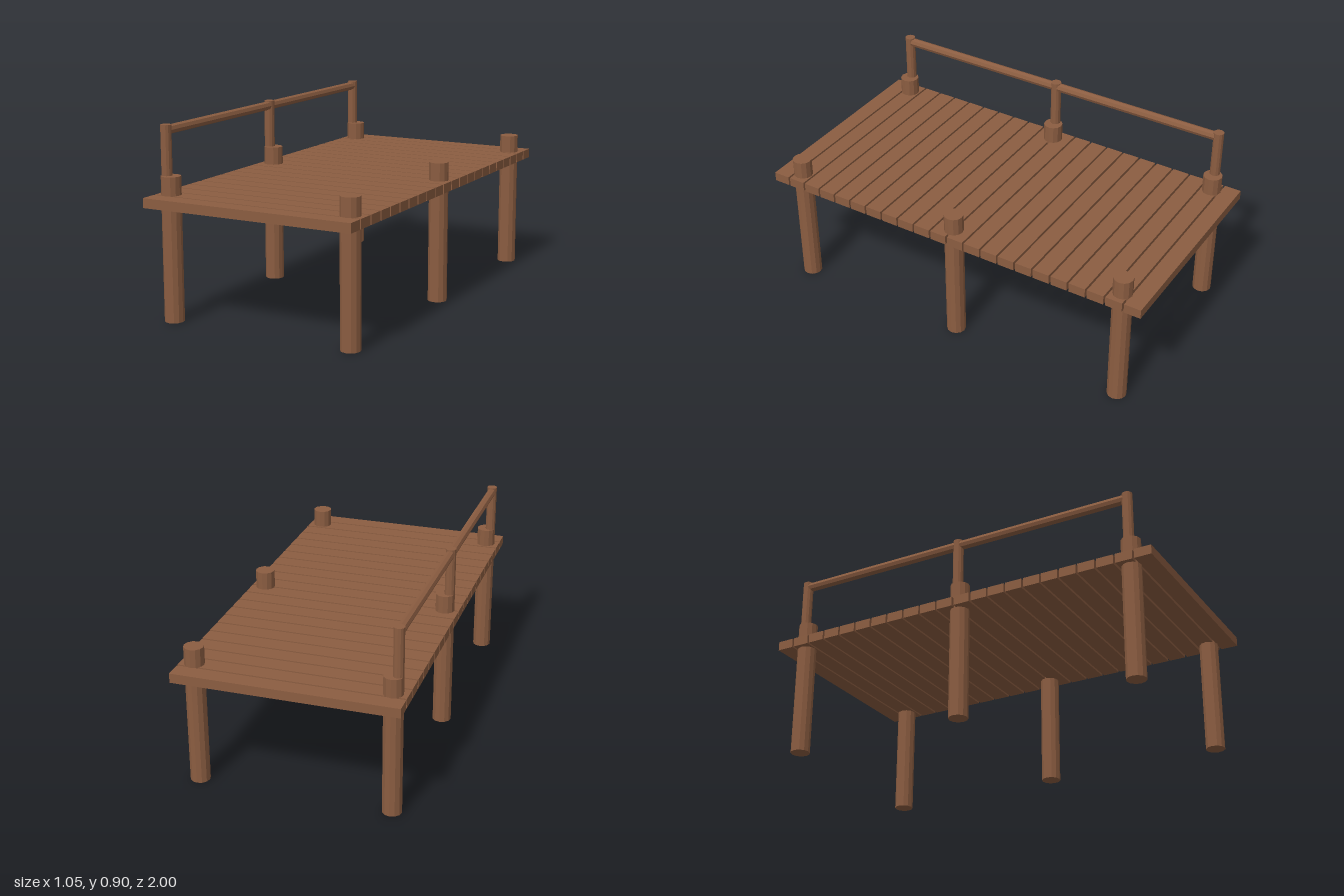
import * as THREE from 'three';

export function createModel() {
  const model = new THREE.Group();
  model.name = 'dock';
  const wood = new THREE.MeshStandardMaterial({ color: 0x8b5d41, flatShading: true });
  wood.name = 'brown wood';

  const add = (name, geometry, x, y, z) => {
    const mesh = new THREE.Mesh(geometry, wood);
    mesh.name = name;
    mesh.position.set(x, y, z);
    model.add(mesh);
    return mesh;
  };

  // Deck planks with narrow gaps
  const count = 22, plankWidth = 0.082;
  const pitch = (2 - plankWidth) / (count - 1);
  const plank = new THREE.BoxGeometry(1.046, 0.045, plankWidth);
  for (let i = 0; i < count; i++) {
    add('plank', plank, 0, 0.566, -1 + plankWidth / 2 + i * pitch);
  }

  // Pilings in two rows, with thin rail posts on the right row
  const piling = new THREE.CylinderGeometry(0.046, 0.046, 0.675, 12);
  const railPost = new THREE.CylinderGeometry(0.025, 0.025, 0.32, 12);
  for (const z of [-0.877, 0, 0.877]) {
    for (const x of [-0.456, 0.456]) add('piling', piling, x, 0.3375, z);
    add('railPost', railPost, -0.477, 0.745, z);
  }

  // Handrail along the right side
  const rail = new THREE.CylinderGeometry(0.022, 0.022, 1.754, 8);
  add('handrail', rail, -0.477, 0.88, 0).rotation.x = Math.PI / 2;

  return model;
}
